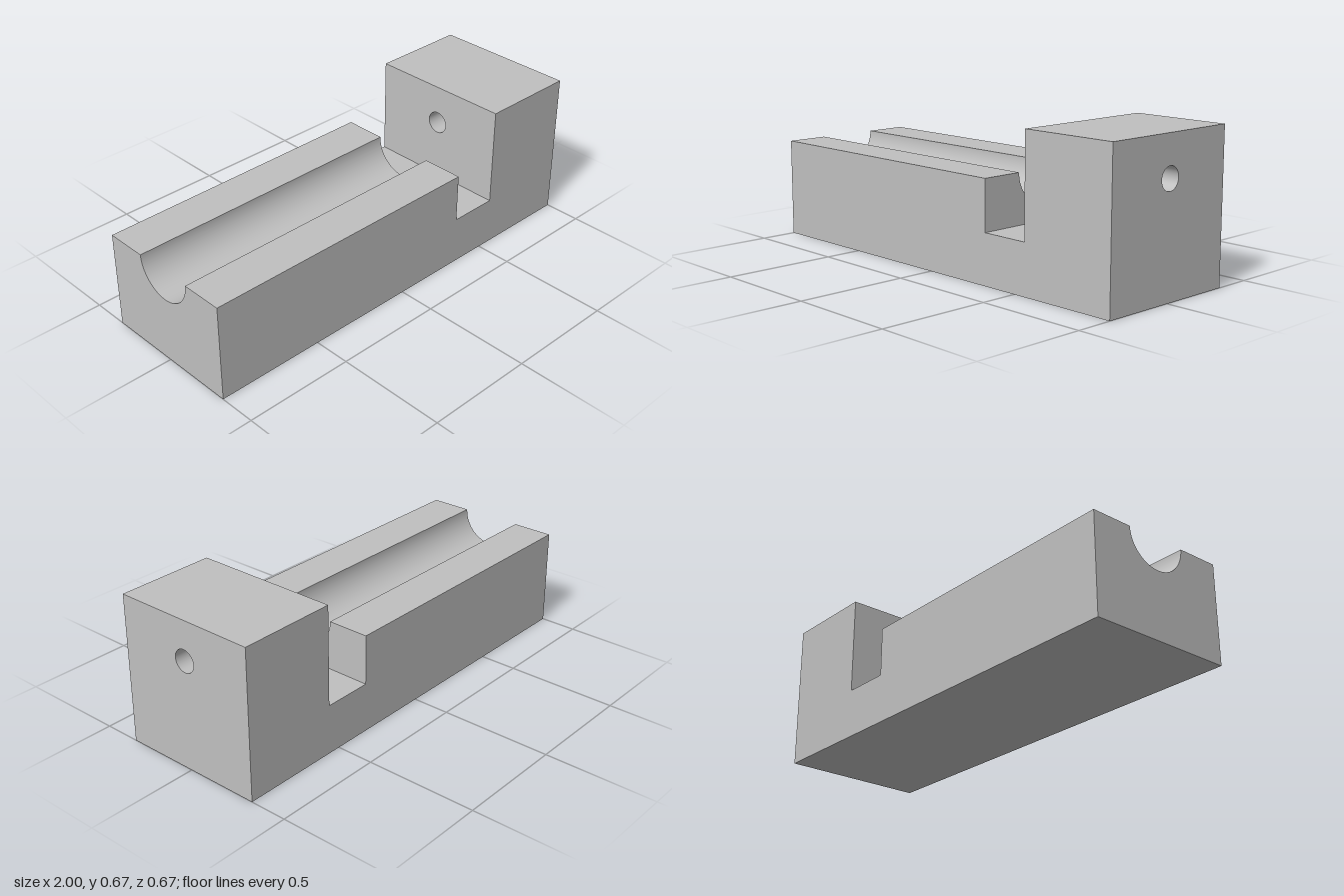
import * as THREE from 'three';

// Main dimensions
const LEFT = -1, RAIL_END = 0.333, BLOCK_START = 0.556, RIGHT = 1;
const FLOOR = 0.222, RAIL_TOP = 0.444, BLOCK_TOP = 0.667;
const HALF = 0.333;
const GROOVE_R = 0.142, HOLE_R = 0.05, HOLE_Y = 0.49;
const SEGMENTS = 48;

export function createModel() {
  const group = new THREE.Group();
  const grey = new THREE.MeshStandardMaterial({ color: 0xc0c0c0, side: THREE.DoubleSide });
  grey.name = 'plain grey';

  const add = (name, geometry) => {
    const mesh = new THREE.Mesh(geometry, grey);
    mesh.name = name;
    group.add(mesh);
    return mesh;
  };

  // Flat face looking up (or down), spanning x0..x1 and z0..z1
  const level = (name, x0, x1, z0, z1, y, up = 1) => {
    const geometry = new THREE.PlaneGeometry(x1 - x0, z1 - z0);
    geometry.rotateX(-up * Math.PI / 2);
    add(name, geometry).position.set((x0 + x1) / 2, y, (z0 + z1) / 2);
  };

  // Cross-section face looking along +x or -x
  const endFace = (name, shape, x, dir) => {
    const geometry = new THREE.ShapeGeometry(shape, SEGMENTS / 2);
    geometry.rotateY(dir * Math.PI / 2);
    add(name, geometry).position.x = x;
  };

  // Rail section with a half-round notch in its top edge
  const railSection = (bottom) => {
    const s = new THREE.Shape();
    s.moveTo(-HALF, bottom);
    s.lineTo(HALF, bottom);
    s.lineTo(HALF, RAIL_TOP);
    s.lineTo(GROOVE_R, RAIL_TOP);
    s.absarc(0, RAIL_TOP, GROOVE_R, 0, Math.PI, true);
    s.lineTo(-HALF, RAIL_TOP);
    s.closePath();
    return s;
  };

  // Block section with a round hole
  const blockSection = (bottom) => {
    const s = new THREE.Shape([
      [-HALF, bottom], [HALF, bottom], [HALF, BLOCK_TOP], [-HALF, BLOCK_TOP],
    ].map(([x, y]) => new THREE.Vector2(x, y)));
    const hole = new THREE.Path();
    hole.absarc(0, HOLE_Y, HOLE_R, 0, Math.PI * 2, true);
    s.holes.push(hole);
    return s;
  };

  // Front and back walls share the stepped outline
  const outline = new THREE.Shape([
    [LEFT, 0], [RIGHT, 0], [RIGHT, BLOCK_TOP], [BLOCK_START, BLOCK_TOP],
    [BLOCK_START, FLOOR], [RAIL_END, FLOOR], [RAIL_END, RAIL_TOP], [LEFT, RAIL_TOP],
  ].map(([x, y]) => new THREE.Vector2(x, y)));
  const front = new THREE.ShapeGeometry(outline);
  front.translate(0, 0, HALF);
  add('frontWall', front);
  const back = front.clone();
  back.translate(0, 0, -2 * HALF);
  const index = back.index.array;
  index.reverse();
  for (let i = 0; i < back.attributes.normal.count; i++) back.attributes.normal.setZ(i, -1);
  add('backWall', back);

  // End walls and the two slot walls
  endFace('railOuterEnd', railSection(0), LEFT, -1);
  endFace('railSlotWall', railSection(FLOOR), RAIL_END, 1);
  endFace('blockSlotWall', blockSection(FLOOR), BLOCK_START, -1);
  endFace('blockOuterEnd', blockSection(0), RIGHT, 1);

  // Level faces
  level('frontRailTop', LEFT, RAIL_END, GROOVE_R, HALF, RAIL_TOP);
  level('backRailTop', LEFT, RAIL_END, -HALF, -GROOVE_R, RAIL_TOP);
  level('slotFloor', RAIL_END, BLOCK_START, -HALF, HALF, FLOOR);
  level('blockTop', BLOCK_START, RIGHT, -HALF, HALF, BLOCK_TOP);
  level('underside', LEFT, RIGHT, -HALF, HALF, 0, -1);

  // Curved linings of the groove and the hole
  const lining = (name, r, x0, x1, y, start, sweep) => {
    const geometry = new THREE.CylinderGeometry(r, r, x1 - x0, SEGMENTS, 1, true, start, sweep);
    geometry.rotateZ(Math.PI / 2);
    add(name, geometry).position.set((x0 + x1) / 2, y, 0);
  };
  lining('groove', GROOVE_R, LEFT, RAIL_END, RAIL_TOP, Math.PI, Math.PI);
  lining('throughHole', HOLE_R, BLOCK_START, RIGHT, HOLE_Y, 0, Math.PI * 2);

  return group;
}
